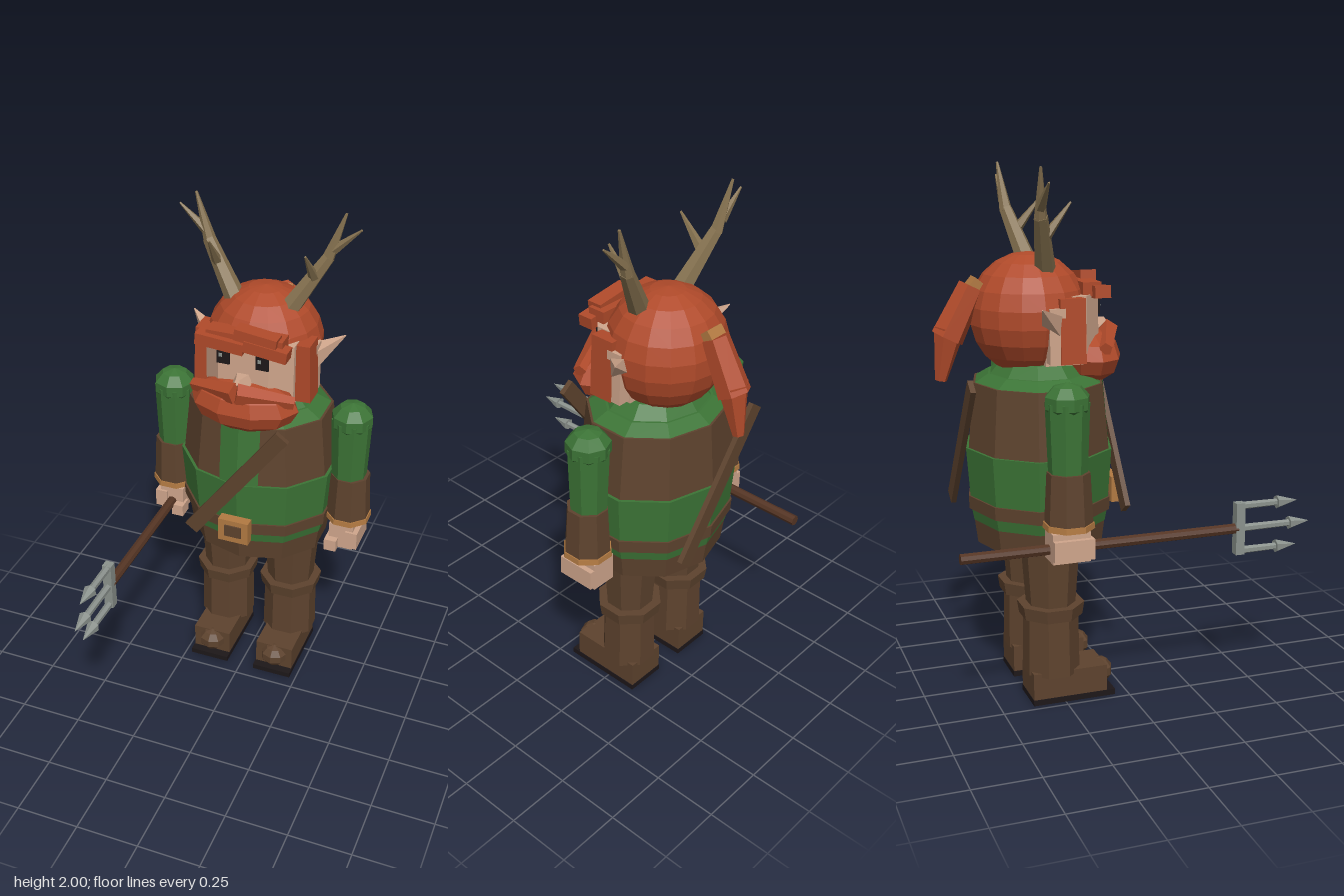
import * as THREE from 'three';

const mat = (name, color) => {
  const m = new THREE.MeshStandardMaterial({ color, flatShading: true, side: THREE.DoubleSide });
  m.name = name;
  return m;
};

export function createModel() {
  const hair = mat('ginger', 0xb04a2a), green = mat('green cloth', 0x3c7436), brown = mat('brown leather', 0x5e432e);
  const wood = mat('dark wood', 0x553524), skin = mat('skin', 0xd0a68c), horn = mat('antler', 0x85714f);
  const tan = mat('tan leather', 0xb27a42), steel = mat('steel', 0x8b928d), black = mat('black', 0x1d1719);
  const root = new THREE.Group();
  const V = (x, y, z) => new THREE.Vector3(x, y, z);

  const add = (name, geo, m, p = [0, 0, 0], r = [0, 0, 0], s = [1, 1, 1]) => {
    const mesh = new THREE.Mesh(geo, m);
    mesh.name = name;
    mesh.position.set(...p);
    mesh.rotation.set(...r);
    mesh.scale.set(...s);
    root.add(mesh);
    return mesh;
  };
  const box = (name, m, size, p, r) => add(name, new THREE.BoxGeometry(...size), m, p, r);
  const ball = (name, m, size, p, w = 10, h = 6) => add(name, new THREE.SphereGeometry(1, w, h), m, p, [0, 0, 0], size);
  // Tapered rod between two points
  const rod = (name, m, a, b, ra, rb, sides = 6) => {
    const A = V(...a), B = V(...b);
    const mesh = add(name, new THREE.CylinderGeometry(rb, ra, A.distanceTo(B), sides), m);
    mesh.position.copy(A).lerp(B, 0.5);
    mesh.quaternion.setFromUnitVectors(V(0, 1, 0), B.sub(A).normalize());
    return mesh;
  };
  // Upright frustum with an oval section
  const tier = (name, m, x, z, y0, y1, r0, r1, depth = 1, sides = 10, turn = 0) =>
    add(name, new THREE.CylinderGeometry(r1, r0, y1 - y0, sides), m, [x, (y0 + y1) / 2, z], [0, turn, 0], [1, 1, depth]);

  // Torso
  const cz = -0.282, d = 0.86;
  tier('trouserTop', brown, 0, cz, 0.6, 0.7, 0.28, 0.295, d);
  tier('tunicHem', green, 0, cz, 0.69, 0.75, 0.295, 0.308, d);
  tier('belt', brown, 0, cz, 0.735, 0.785, 0.315, 0.318, d);
  tier('tunic', green, 0, cz, 0.74, 0.97, 0.306, 0.325, d);
  tier('vest', brown, 0, cz, 0.965, 1.215, 0.313, 0.287, d);
  tier('shoulders', green, 0, cz, 1.21, 1.245, 0.287, 0.22, d);
  tier('collar', green, 0, cz, 1.235, 1.29, 0.22, 0.165, d);
  tier('neck', skin, 0, cz - 0.01, 1.27, 1.34, 0.14, 0.14);

  // Green tunic front between the vest panels, folded along the chest
  const panel = new THREE.PlaneGeometry(0.16, 0.25, 2, 1);
  const pp = panel.attributes.position;
  for (let i = 0; i < pp.count; i++) {
    const r = pp.getY(i) > 0 ? 0.287 : 0.313;
    pp.setZ(i, r * d + 0.006 - Math.abs(pp.getX(i)) * 0.28);
  }
  panel.computeVertexNormals();
  add('tunicFront', panel, green, [0, 1.09, cz]);

  // Shoulder strap, front and back, and buckle
  box('strapFront', brown, [0.06, 0.63, 0.02], [0, 0.985, 0.003], [0, 0, -0.635]);
  box('strapBack', brown, [0.06, 0.63, 0.02], [0, 0.985, -0.578], [0, 0, 0.635]);
  box('buckle', tan, [0.125, 0.1, 0.04], [0, 0.772, 0.01]);
  box('buckleCentre', brown, [0.07, 0.05, 0.008], [0, 0.775, 0.032]);

  // Head: hair cap, face and beard
  ball('hairCap', hair, [0.228, 0.228, 0.222], [0, 1.462, -0.312], 16, 11);
  const face = new THREE.Shape([[-0.175, 0.3], [-0.175, 0.145], [-0.1, 0.075], [0.1, 0.075], [0.175, 0.145], [0.175, 0.3]]
    .map(([x, y]) => new THREE.Vector2(x, y)));
  add('face', new THREE.ExtrudeGeometry(face, { depth: 0.25, bevelEnabled: false }), skin, [0, 1.54, 0], [Math.PI / 2, 0, 0])
    .scale.y = -1;
  ball('beard', hair, [0.215, 0.105, 0.125], [0, 1.3, -0.095], 10, 6);
  box('fringe', hair, [0.3, 0.05, 0.07], [0, 1.56, -0.115]);
  box('rightBrow', hair, [0.19, 0.045, 0.06], [-0.09, 1.545, -0.085], [0, 0, -0.08]);
  box('leftBrow', hair, [0.17, 0.045, 0.06], [0.09, 1.545, -0.085], [0, 0, -0.12]);
  box('forelock', hair, [0.165, 0.045, 0.06], [0.05, 1.585, -0.09], [0, 0, -0.12]);
  rod('nose', skin, [0, 1.4, -0.07], [0, 1.425, -0.015], 0.042, 0.012, 5);

  for (const s of [-1, 1]) {
    const side = s > 0 ? 'left' : 'right';
    // Face details
    box(side + 'Eye', black, [0.05, 0.055, 0.008], [s * 0.077, 1.49, -0.072]);
    box(side + 'Pupil', steel, [0.014, 0.014, 0.006], [s * 0.077 - 0.01, 1.498, -0.068]);
    box(side + 'Sideburn', hair, [0.06, 0.235, 0.095], [s * 0.202, 1.42, -0.213], [0, 0, s * 0.04]);
    box(side + 'Temple', skin, [0.05, 0.2, 0.06], [s * 0.205, 1.405, -0.27]);
    rod(side + 'Moustache', hair, [0, 1.385, -0.005], [s * 0.2, 1.345, -0.08], 0.042, 0.025, 5);
    rod(side + 'Ear', skin, [s * 0.2, 1.445, -0.275], [s * 0.31, 1.515, -0.35], 0.05, 0.002, 4);

    // Antlers
    rod(side + 'AntlerBase', horn, [s * 0.11, 1.63, -0.28], [s * 0.235, 1.83, -0.33], 0.04, 0.025);
    rod(side + 'AntlerTip', horn, [s * 0.23, 1.82, -0.33], [s * 0.29, 2.0, -0.345], 0.025, 0.005);
    rod(side + 'AntlerOuterTine', horn, [s * 0.25, 1.86, -0.335], [s * 0.352, 1.95, -0.335], 0.02, 0.004, 5);
    rod(side + 'AntlerFrontTine', horn, [s * 0.19, 1.75, -0.305], [s * 0.185, 1.875, -0.205], 0.022, 0.004, 5);

    // Arm
    const ax = s * 0.372, az = -0.283;
    ball(side + 'Shoulder', green, [0.086, 0.07, 0.086], [ax, 1.2, az], 8, 5);
    tier(side + 'Sleeve', green, ax, az, 0.93, 1.2, 0.07, 0.08, 1, 8, Math.PI / 8);
    tier(side + 'Cuff', brown, ax + s * 0.006, az, 0.76, 0.95, 0.088, 0.078, 1, 8, Math.PI / 8);
    tier(side + 'CuffTrim', tan, ax + s * 0.006, az, 0.745, 0.767, 0.094, 0.092, 1, 8, Math.PI / 8);
    box(side + 'Palm', skin, [0.1, 0.11, 0.14], [s * 0.37, 0.68, -0.285]);
    box(side + 'Fingers', skin, [0.05, 0.075, 0.15], [s * 0.415, 0.675, -0.28]);
    box(side + 'Thumb', skin, [0.05, 0.05, 0.06], [s * 0.335, 0.645, -0.215]);

    // Leg and boot
    const lx = s * 0.142, lz = -0.283, e = Math.PI / 8;
    tier(side + 'Thigh', brown, lx, lz, 0.38, 0.64, 0.097, 0.117, 0.95, 8, e);
    tier(side + 'BootCuff', brown, lx, lz, 0.335, 0.385, 0.122, 0.13, 0.98, 8, e);
    tier(side + 'BootShaft', brown, lx, lz, 0.11, 0.345, 0.112, 0.108, 0.95, 8, e);
    box(side + 'Boot', brown, [0.16, 0.105, 0.29], [lx, 0.073, -0.23]);
    ball(side + 'ToeCap', brown, [0.06, 0.05, 0.055], [lx, 0.078, -0.092], 8, 5);
    box(side + 'Sole', black, [0.165, 0.022, 0.325], [lx, 0.011, -0.214]);
  }

  // Ponytail
  box('ponytailTie', tan, [0.075, 0.05, 0.05], [0, 1.57, -0.515], [0.7, 0, 0]);
  rod('ponytailUpper', hair, [0, 1.57, -0.525], [0, 1.385, -0.62], 0.05, 0.062, 6);
  rod('ponytailLower', hair, [0, 1.42, -0.61], [0, 1.23, -0.648], 0.058, 0.022, 6);

  // Trident held in the right hand
  const tx = -0.37, ty = 0.668;
  rod('tridentShaft', wood, [tx, ty, -0.678], [tx, ty, 0.38], 0.02, 0.02, 8);
  box('tridentBar', steel, [0.036, 0.2, 0.035], [tx, ty, 0.387]);
  for (const k of [-1, 0, 1]) {
    const y = ty + k * 0.087, end = k ? 0.625 : 0.678;
    rod('tridentProng', steel, [tx, y, 0.39], [tx, y, end - 0.07], 0.015, 0.013);
    rod('tridentPoint', steel, [tx, y, end - 0.085], [tx, y, end], 0.026, 0.001, 6);
  }
  return root;
}
